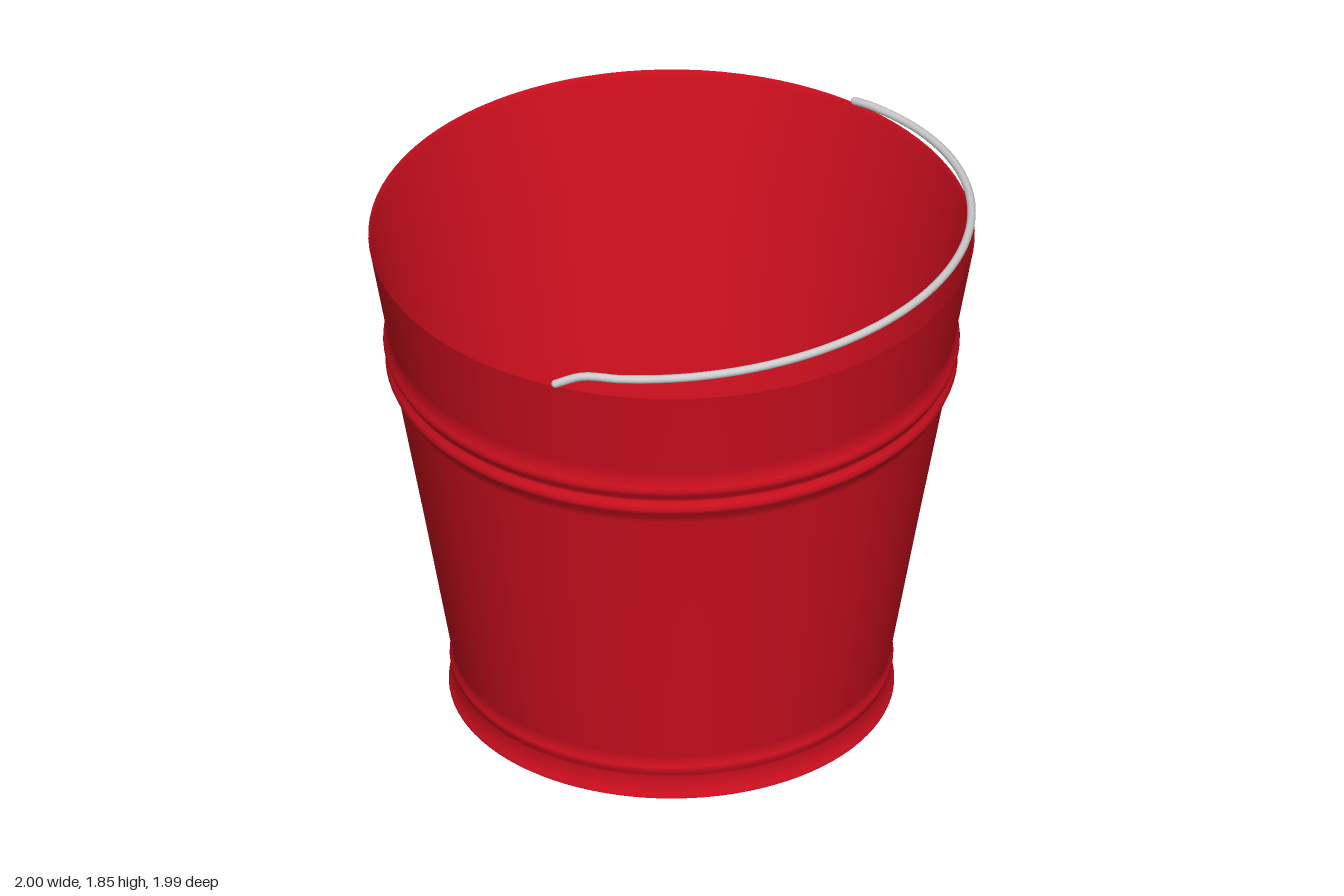
import * as THREE from 'three';

const SEGMENTS = 96;
const RED = new THREE.MeshStandardMaterial({ color: 0xd00f1f, side: THREE.DoubleSide });
const GREY = new THREE.MeshStandardMaterial({ color: 0xcccccc });

function addMesh(group, name, geometry, material) {
  const mesh = new THREE.Mesh(geometry, material);
  mesh.name = name;
  group.add(mesh);
  return mesh;
}

function lathe(profile) {
  return new THREE.LatheGeometry(profile.map(([r, y]) => new THREE.Vector2(r, y)), SEGMENTS);
}

export function createModel() {
  const model = new THREE.Group();
  const bucket = new THREE.Group();
  bucket.name = 'bucket';
  bucket.position.set(-0.005, 0, -0.005);
  model.add(bucket);

  // Tapered outer wall with a foot, a low bead and a double bead near the top
  addMesh(bucket, 'outerWall', lathe([
    [0.73, 0], [0.728, 0.012], [0.716, 0.03], [0.714, 0.075], [0.72, 0.088], [0.727, 0.105],
    [0.726, 0.118], [0.718, 0.135], [0.723, 0.16], [0.81, 0.66], [0.905, 1.19],
    [0.913, 1.215], [0.932, 1.24], [0.938, 1.255], [0.933, 1.27], [0.924, 1.285], [0.925, 1.295],
    [0.94, 1.315], [0.945, 1.33], [0.942, 1.345], [0.931, 1.37], [0.937, 1.41], [0.99, 1.71], [0.994, 1.73],
  ]), RED);

  // Plain inner wall, rounding into the floor
  addMesh(bucket, 'innerWall', lathe([
    [0.994, 1.73], [0.984, 1.71], [0.92, 1.36], [0.80, 0.66], [0.712, 0.14],
    [0.70, 0.08], [0.68, 0.05], [0.64, 0.035], [0.55, 0.03], [0, 0.03],
  ]), RED);

  // Flat underside
  const base = addMesh(bucket, 'base', new THREE.CircleGeometry(0.73, SEGMENTS), RED);
  base.rotation.x = Math.PI / 2;

  // Wire handle lying forward on the rim, its ends bent down
  const handle = new THREE.Group();
  handle.name = 'handle';
  model.add(handle);
  const at = (degrees, radius, y) => {
    const a = THREE.MathUtils.degToRad(degrees);
    return new THREE.Vector3(radius * Math.cos(a), y, radius * Math.sin(a));
  };
  const points = [at(1.2, 0.984, 1.742)];
  for (let i = 0; i <= 20; i++) {
    const degrees = 6 + (i / 20) * 156;
    const s = Math.sin(THREE.MathUtils.degToRad(degrees));
    points.push(at(degrees, 0.976, 1.834 - 0.085 * (1 - s)));
  }
  points.push(at(167, 0.993, 1.738));
  const path = new THREE.CatmullRomCurve3(points);
  addMesh(handle, 'handleWire', new THREE.TubeGeometry(path, 120, 0.014, 12), GREY);
  for (const end of [points[0], points[points.length - 1]]) {
    addMesh(handle, 'handleEnd', new THREE.SphereGeometry(0.014, 12, 8), GREY).position.copy(end);
  }
  return model;
}
